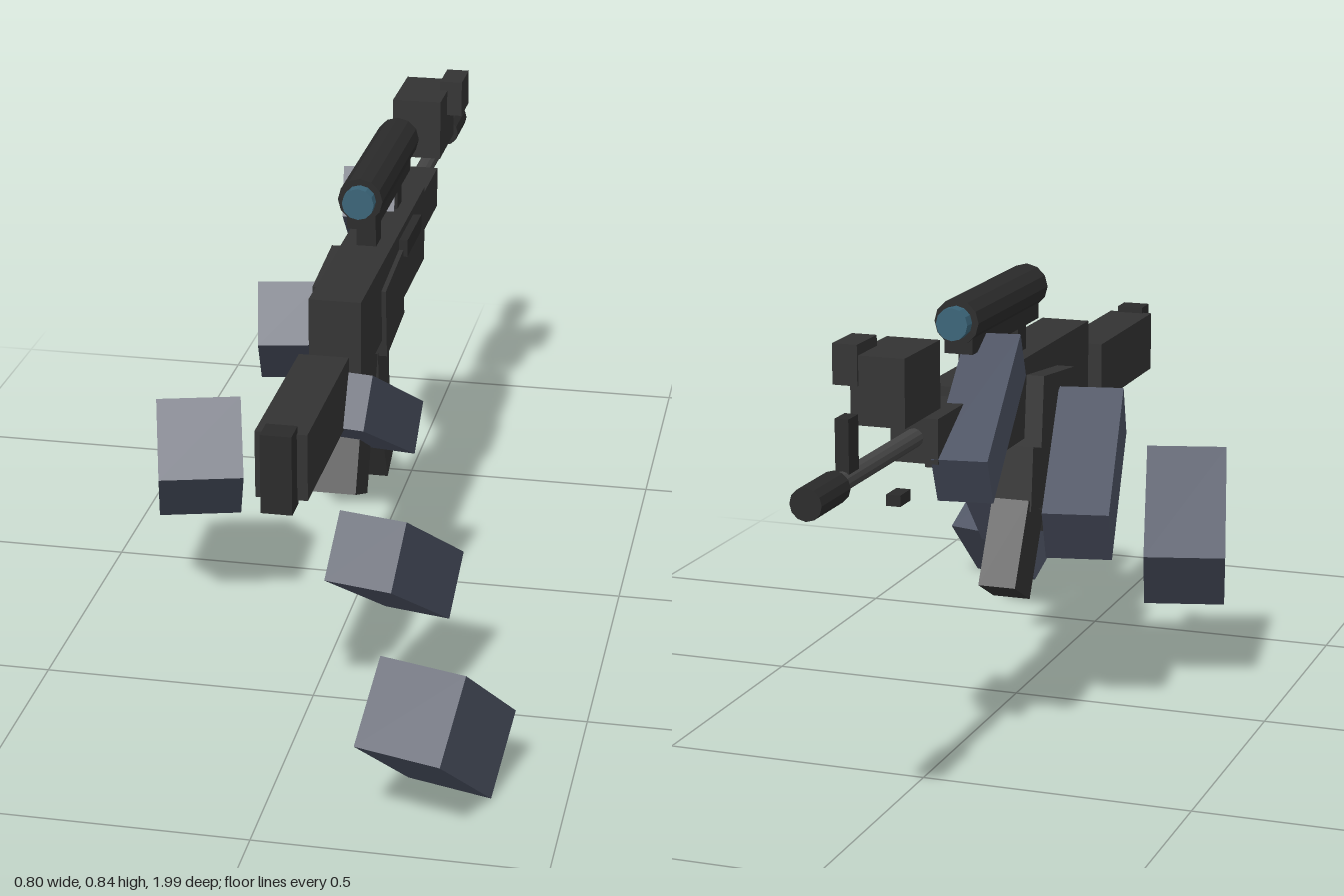
import * as THREE from 'three';

const mat = (color) => new THREE.MeshStandardMaterial({ color, flatShading: true });

export function createModel() {
  const group = new THREE.Group();
  const metal = mat(0x333333), dark = mat(0x2a2a2a), steel = mat(0x444444);
  const glass = mat(0x3a6478), armour = mat(0x4a5060);

  const add = (name, geometry, material, x, y, z) => {
    const mesh = new THREE.Mesh(geometry, material);
    mesh.name = name;
    mesh.position.set(x, y, z);
    group.add(mesh);
    return mesh;
  };

  // Box from its centre and size, pitched about x
  const box = (name, material, [x, y, z], [w, h, d], pitch = 0) => {
    const mesh = add(name, new THREE.BoxGeometry(w, h, d), material, x, y, z);
    mesh.rotation.x = pitch;
    return mesh;
  };

  // Box given by its [min, max] along each axis
  const span = (name, material, [x0, x1], [y0, y1], [z0, z1]) =>
    box(name, material, [(x0 + x1) / 2, (y0 + y1) / 2, (z0 + z1) / 2], [x1 - x0, y1 - y0, z1 - z0]);

  // Cylinder lying along z
  const tube = (name, material, y, r, z0, z1, sides = 12) => {
    const geometry = new THREE.CylinderGeometry(r, r, z1 - z0, sides).rotateX(Math.PI / 2);
    return add(name, geometry, material, 0, y, (z0 + z1) / 2);
  };

  // Stock, receiver and handguard
  span('stock', metal, [-0.045, 0.045], [0.505, 0.625], [0.39, 0.735]);
  span('buttPad', dark, [-0.027, 0.027], [0.495, 0.637], [0.727, 0.775]);
  span('receiver', metal, [-0.048, 0.048], [0.54, 0.692], [-0.357, 0.294]);
  span('handguard', metal, [-0.044, 0.044], [0.593, 0.674], [-0.53, -0.23]);
  span('ejectionCover', dark, [0.04, 0.064], [0.645, 0.678], [-0.23, -0.08]);

  // Grip, trigger and curved magazine
  box('grip', metal, [0, 0.42, 0.21], [0.084, 0.26, 0.12], -0.4);
  span('trigger', steel, [-0.015, 0.015], [0.48, 0.495], [0.1, 0.19]);
  box('magazineWell', metal, [-0.013, 0.583, 0.005], [0.139, 0.135, 0.18], 0.1);
  box('upperMagazine', metal, [0, 0.455, 0.032], [0.08, 0.16, 0.105], 0.1);
  box('lowerMagazine', metal, [0, 0.305, -0.03], [0.074, 0.172, 0.096], 0.48);

  // Barrel, muzzle and sights
  tube('barrel', steel, 0.638, 0.017, -0.89, -0.52);
  tube('muzzle', dark, 0.636, 0.028, -1, -0.882);
  span('frontSight', dark, [-0.012, 0.012], [0.65, 0.742], [-0.85, -0.808]);
  span('lowerLug', dark, [-0.013, 0.013], [0.54, 0.56], [-0.63, -0.583]);
  span('sightHousing', metal, [-0.049, 0.049], [0.694, 0.814], [-0.695, -0.53]);
  span('sightSideBlock', metal, [0.034, 0.079], [0.762, 0.833], [-0.7, -0.612]);

  // Scope with lenses and mounts
  tube('scopeTube', dark, 0.802, 0.042, -0.32, 0.06);
  tube('rearLens', glass, 0.802, 0.03, 0.055, 0.083);
  tube('frontLens', glass, 0.802, 0.03, -0.345, -0.315);
  span('scopeRail', dark, [-0.027, 0.027], [0.742, 0.775], [-0.31, 0.05]);
  for (const z of [-0.238, -0.022])
    span('scopeMount', dark, [-0.019, 0.019], [0.67, 0.75], [z - 0.023, z + 0.023]);

  // Three-part arms, growing toward the hand: x, y, z, thickness, length, pitch, yaw
  const segments = [
    ['upperArm', 0.057, 0.471, 0.272, 0.1, 0.335, 0.52, 0.14],
    ['forearm', 0.162, 0.309, 0.557, 0.123, 0.324, 0.58, 0.21],
    ['hand', 0.282, 0.148, 0.825, 0.156, 0.268, 0.68, 0.27],
  ];
  for (const side of [1, -1]) {
    const dy = side > 0 ? 0 : 0.171, dz = side > 0 ? 0 : -0.628;
    for (const [part, x, y, z, s, length, pitch, yaw] of segments) {
      const mesh = add((side > 0 ? 'left ' : 'right ') + part,
        new THREE.BoxGeometry(s, s, length), armour, side * x, y + dy, z + dz);
      mesh.rotation.set(-pitch, -side * yaw, 0, 'YXZ');
    }
  }
  return group;
}
